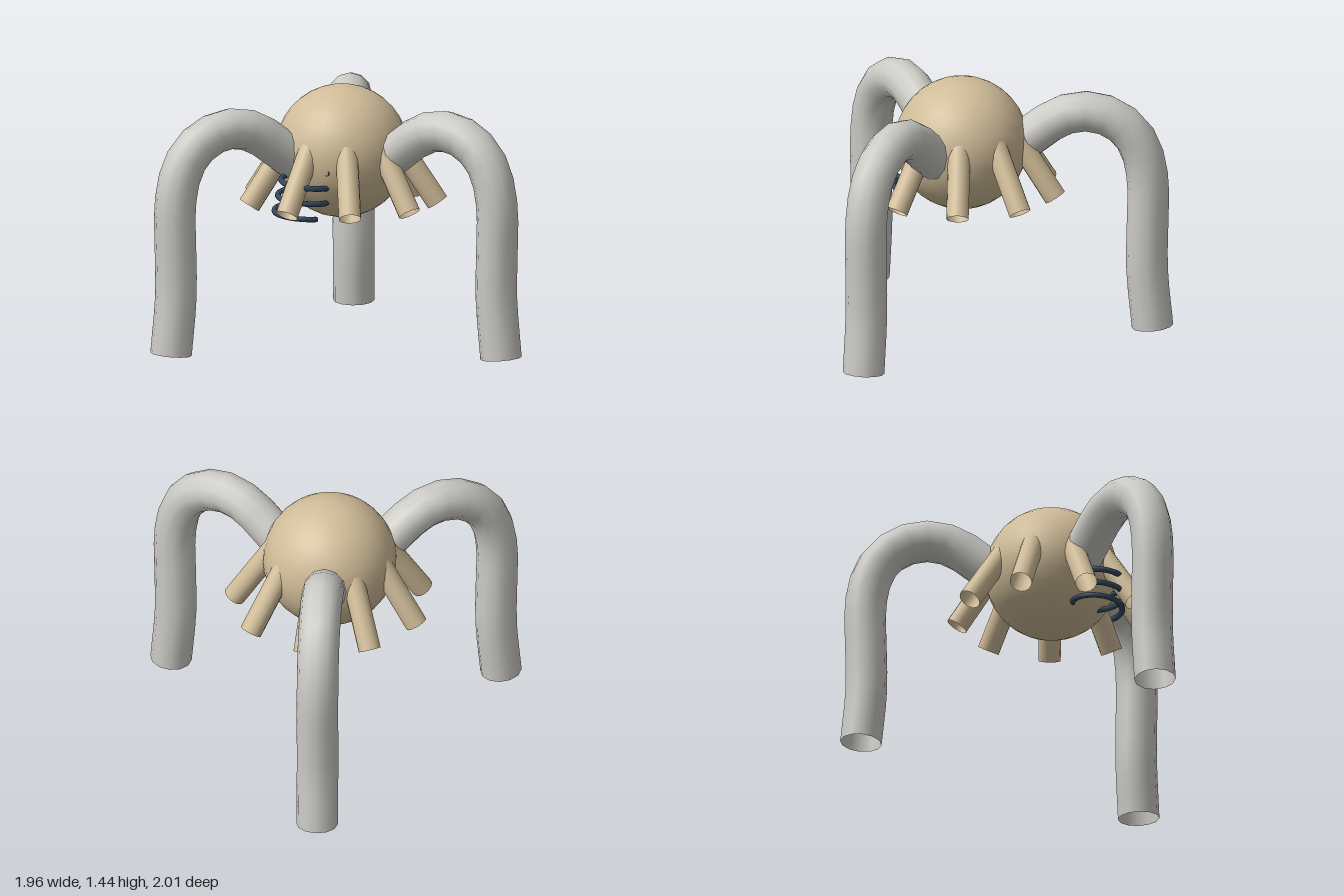
import * as THREE from 'three';

const V = (x, y, z) => new THREE.Vector3(x, y, z);

function material(name, color) {
  const m = new THREE.MeshStandardMaterial({ color, side: THREE.DoubleSide });
  m.name = name;
  return m;
}

function part(name, geometry, mat) {
  const mesh = new THREE.Mesh(geometry, mat);
  mesh.name = name;
  return mesh;
}

// Coil leaning slightly to one side as it descends
class CoilCurve extends THREE.Curve {
  getPoint(t, target = V(0, 0, 0)) {
    const a = t * 3 * Math.PI * 2;
    const top = V(-0.12, 1.02, 0.2), bottom = V(-0.18, 0.755, 0.22);
    return target.copy(top).lerp(bottom, t).add(V(0.14 * Math.cos(a), 0, -0.14 * Math.sin(a)));
  }
}

export function createModel() {
  const group = new THREE.Group();
  const tan = material('tan', 0xd0bc98);
  const grey = material('light grey', 0xcbcac5);
  const blue = material('dark blue', 0x34495e);
  const cx = -0.17, cy = 1.08, cz = -0.11;

  // Round body
  const body = part('body', new THREE.SphereGeometry(0.37, 28, 18), tan);
  body.position.set(cx, cy, cz);
  group.add(body);

  // Three arched, open-ended tube legs; profile as (radius, height)
  const profile = [
    [0.22, 1.0], [0.42, 1.15], [0.52, 1.22], [0.65, 1.262], [0.8, 1.24], [0.93, 1.15],
    [1.0, 1.02], [1.03, 0.85], [1.027, 0.6], [1.025, 0.35], [1.055, 0.025],
  ];
  const legCurve = new THREE.CatmullRomCurve3(profile.map(([r, y]) => V(r, y, 0)));
  const legGeometry = new THREE.TubeGeometry(legCurve, 18, 0.115, 12, false);
  for (let i = 0; i < 3; i++) {
    const leg = part('leg' + (i + 1), legGeometry, grey);
    leg.position.set(cx, 0, cz);
    leg.rotation.y = THREE.MathUtils.degToRad(11.6 - 120 * i);
    group.add(leg);
  }

  // Nine short open pipes slanting down around the body
  const pipeLine = new THREE.LineCurve3(V(0.28, 1.175, 0), V(0.53, 0.797, 0));
  const pipeGeometry = new THREE.TubeGeometry(pipeLine, 1, 0.062, 14, false);
  for (let i = 0; i < 9; i++) {
    const pipe = part('pipe' + (i + 1), pipeGeometry, tan);
    pipe.position.set(cx, 0, cz);
    pipe.rotation.y = -i * Math.PI * 2 / 9;
    group.add(pipe);
  }

  // Spring at the front
  group.add(part('spring', new THREE.TubeGeometry(new CoilCurve(), 90, 0.016, 8, false), blue));

  return group;
}
